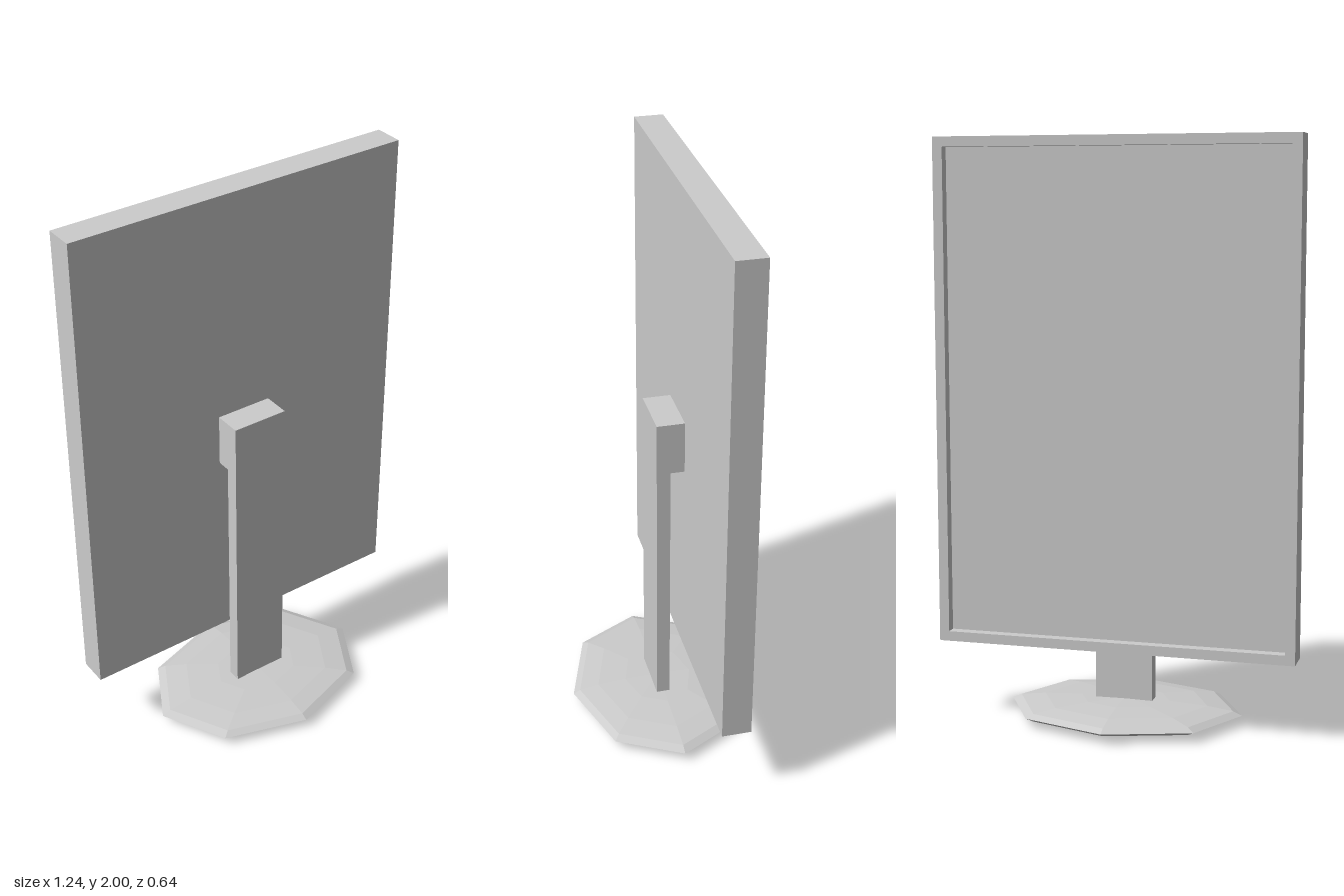
import * as THREE from 'three';

const material = new THREE.MeshStandardMaterial({ color: 0xcccccc, flatShading: true });

function addMesh(group, name, geometry) {
  const mesh = new THREE.Mesh(geometry, material);
  mesh.name = name;
  group.add(mesh);
  return mesh;
}

// Corner points of an upright rectangle
function rectangle(x0, y0, x1, y1) {
  return [[x0, y0], [x1, y0], [x1, y1], [x0, y1]].map(([x, y]) => new THREE.Vector2(x, y));
}

export function createModel() {
  const model = new THREE.Group();
  model.name = 'monitor';

  const halfWidth = 0.622, bottom = 0.275, top = 2;
  const back = -0.172, front = -0.07, bezel = 0.034, recess = 0.036;

  // Casing around the display, open through the middle
  const outline = new THREE.Shape(rectangle(-halfWidth, bottom, halfWidth, top));
  outline.holes.push(new THREE.Path(
    rectangle(-halfWidth + bezel, bottom + bezel, halfWidth - bezel, top - bezel)));
  const casing = new THREE.ExtrudeGeometry(outline, { depth: front - back, bevelEnabled: false });
  addMesh(model, 'bezel', casing).position.z = back;

  // Display panel, set back behind the bezel and flush on the stand side
  const depth = front - back - recess;
  const panel = new THREE.BoxGeometry(2 * (halfWidth - bezel), top - bottom - 2 * bezel, depth);
  addMesh(model, 'screenPanel', panel).position.set(0, (top + bottom) / 2, front - depth / 2);

  // Stand column with its mounting arm, an upside-down L seen from the side
  const standWidth = 0.202;
  const profile = new THREE.Shape([
    [0.027, 0.06], [0.027, 1.19], [front, 1.19], [front, 1.003], [-0.021, 1.003], [-0.021, 0.06],
  ].map(([z, y]) => new THREE.Vector2(z, y)));
  const stand = new THREE.ExtrudeGeometry(profile, { depth: standWidth, bevelEnabled: false });
  stand.translate(0, 0, -standWidth / 2).rotateY(-Math.PI / 2);
  addMesh(model, 'standColumn', stand);

  // Faceted, flattened foot
  const foot = new THREE.SphereGeometry(1, 8, 8).scale(0.415, 0.035, 0.318);
  addMesh(model, 'foot', foot).position.y = 0.036;

  return model;
}
